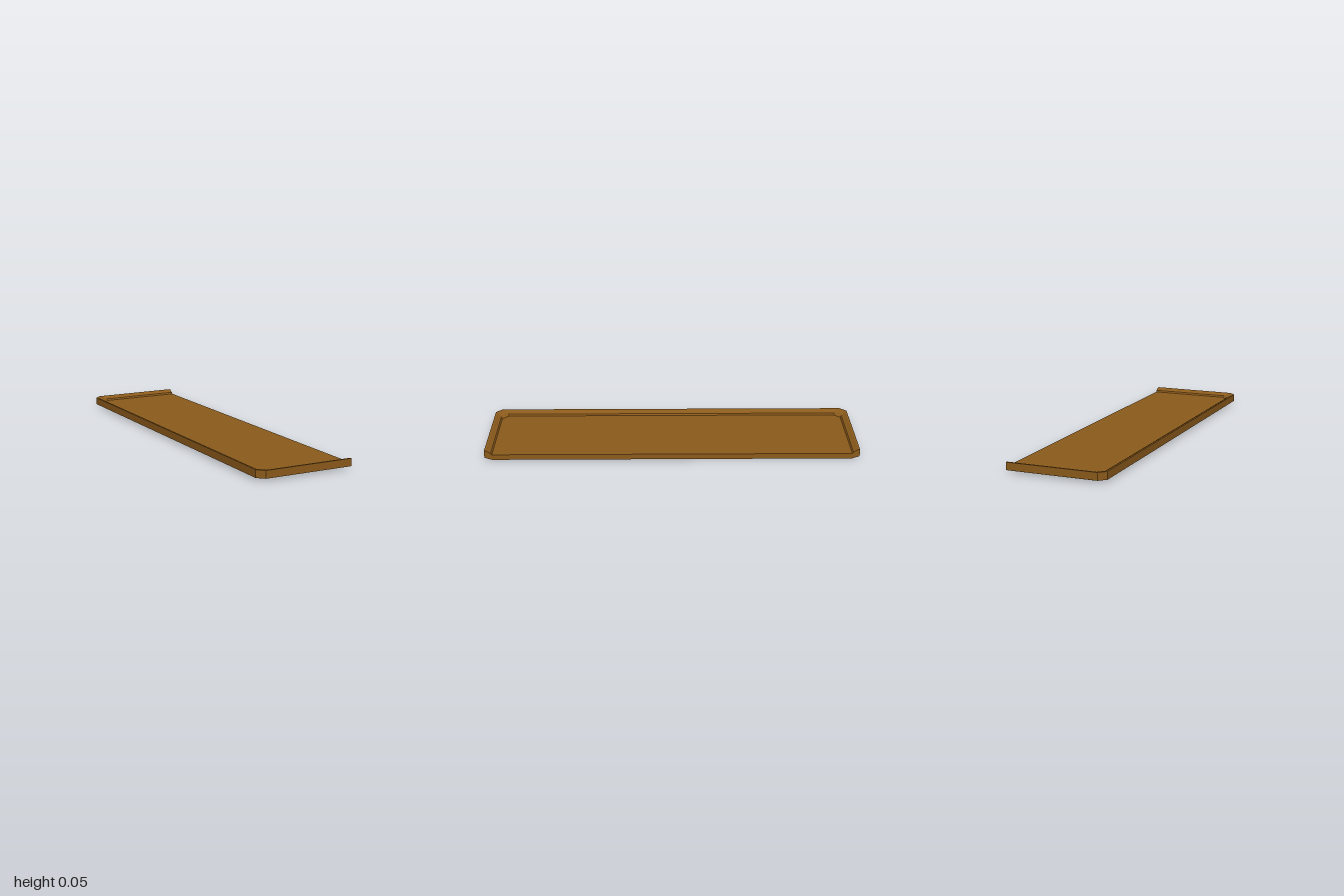
import * as THREE from 'three';

const HALF_X = 0.26, HALF_Z = 1, CORNER = 0.035;

// Rim cross-section as [inset, height], from the underside round to the floor
const PROFILE = [
  [0.04, 0], [0, 0.013], [0, 0.053], [0.01, 0.053],
  [0.028, 0.041], [0.034, 0.039], [0.04, 0.03],
];

// Three-sided outline with cut corners, open towards +x
function outline([d, y]) {
  const x = -HALF_X + d, z = HALF_Z - d;
  return [
    [HALF_X, y, -z], [x + CORNER, y, -z], [x, y, -z + CORNER],
    [x, y, z - CORNER], [x + CORNER, y, z], [HALF_X, y, z],
  ];
}

// Flat-faced mesh from convex polygons, each split as a fan
function polygonMesh(name, polygons, material) {
  const positions = [];
  for (const p of polygons) {
    for (let i = 1; i < p.length - 1; i++) positions.push(...p[0], ...p[i], ...p[i + 1]);
  }
  const geometry = new THREE.BufferGeometry();
  geometry.setAttribute('position', new THREE.Float32BufferAttribute(positions, 3));
  geometry.computeVertexNormals();
  const mesh = new THREE.Mesh(geometry, material);
  mesh.name = name;
  return mesh;
}

export function createModel() {
  const group = new THREE.Group();
  group.name = 'tray';
  const material = new THREE.MeshStandardMaterial({ color: 0x8b5a1b });
  const loops = PROFILE.map(outline);
  const bottom = loops[0], top = loops[loops.length - 1];

  // Raised rim swept along the outline, with its two cut ends
  const rim = [];
  for (let i = 0; i < loops.length - 1; i++) {
    for (let k = 0; k < 5; k++) {
      rim.push([loops[i][k], loops[i][k + 1], loops[i + 1][k + 1], loops[i + 1][k]]);
    }
  }
  rim.push(loops.map((l) => l[0]), loops.map((l) => l[5]).reverse());
  // Start the reversed end at the underside corner so that its fan stays inside
  rim[rim.length - 1].unshift(rim[rim.length - 1].pop());
  group.add(polygonMesh('rim', rim, material));

  // Floor slab: upper face, underside and the straight open edge
  const floor = [top, [...bottom].reverse(), [bottom[0], top[0], top[5], bottom[5]]];
  group.add(polygonMesh('floor', floor, material));
  return group;
}
